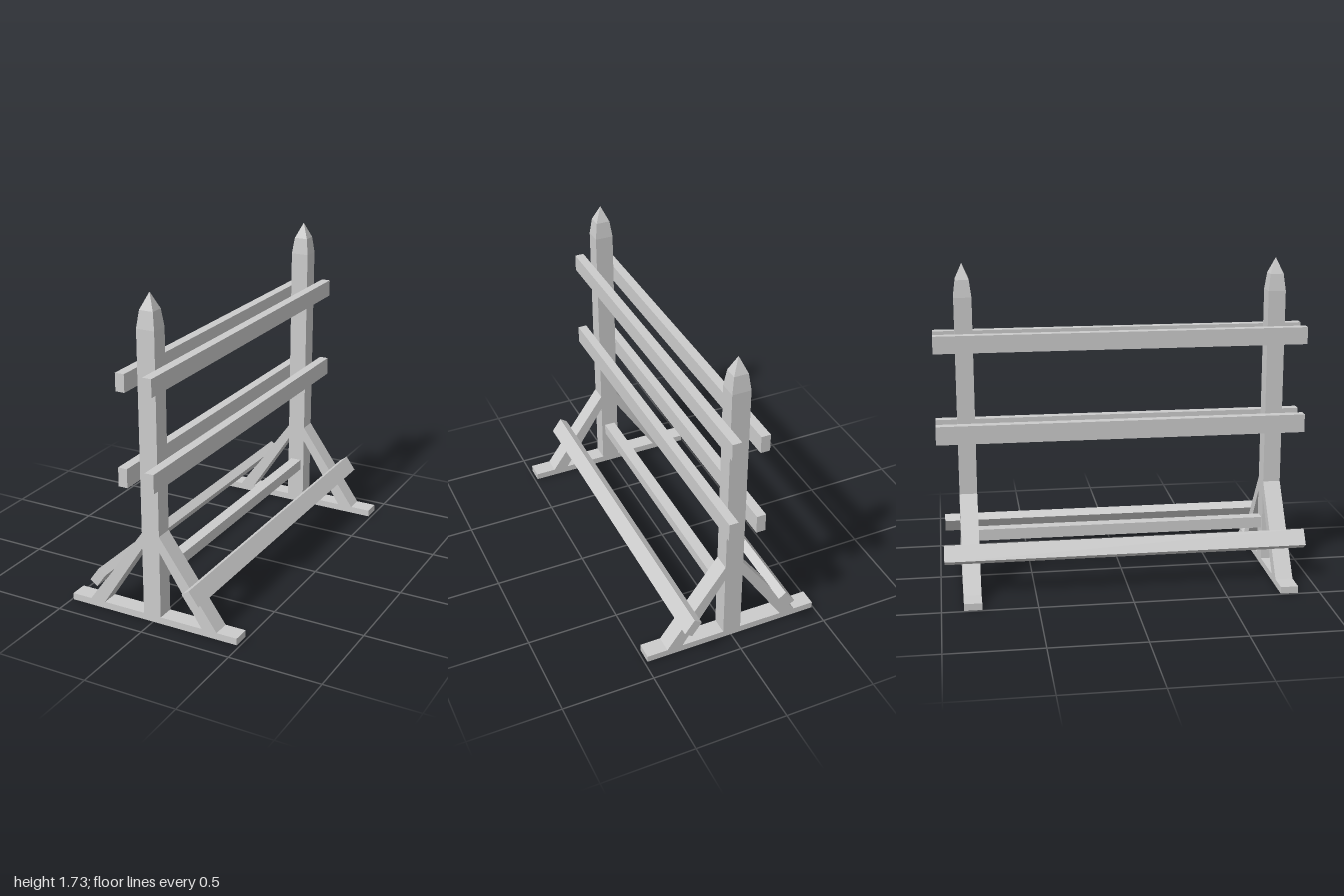
import * as THREE from 'three';

export function createModel() {
  const model = new THREE.Group();
  model.name = 'hurdleFence';
  const wood = new THREE.MeshStandardMaterial({ color: 0xcccccc });
  wood.name = 'plain grey';

  const AXIS = -0.004;   // x of the post centre line
  const HALF = 0.05;     // half width of a post in x
  const DEPTH = 0.094;   // timber depth in z
  const POST_Z = 0.837;

  function add(name, geometry, x, y, z, parent = model) {
    const mesh = new THREE.Mesh(geometry, wood);
    mesh.name = name;
    mesh.position.set(x, y, z);
    parent.add(mesh);
    return mesh;
  }
  const box = (w, h, d) => new THREE.BoxGeometry(w, h, d);

  // Square post with a two-stage pointed top: a four-sided lathe with flat faces
  function postGeometry() {
    const profile = [[0, 0.005], [HALF, 0.005], [HALF, 1.555], [0.038, 1.645], [0, 1.73]]
      .map(([r, y]) => new THREE.Vector2(r * Math.SQRT2, y));
    const lathe = new THREE.LatheGeometry(profile, 4, Math.PI / 4).toNonIndexed();
    lathe.scale(1, 1, DEPTH / (2 * HALF));
    lathe.computeVertexNormals();
    return lathe;
  }

  // Slanted brace, cut vertically at the post and level at the foot
  function braceGeometry(side) {
    const points = [[HALF, 0.405], [0.289, 0.036], [0.375, 0.036], [HALF, 0.49]];
    const shape = new THREE.Shape(points.map(([x, y]) => new THREE.Vector2(x * side, y)));
    const geometry = new THREE.ExtrudeGeometry(shape, { depth: DEPTH, bevelEnabled: false });
    return geometry.translate(0, 0, -DEPTH / 2);
  }

  // End frames
  for (const end of [1, -1]) {
    const frame = new THREE.Group();
    frame.name = end > 0 ? 'frontFrame' : 'backFrame';
    frame.position.set(AXIS, 0, end * POST_Z);
    model.add(frame);
    add('post', postGeometry(), 0, 0, 0, frame);
    add('foot', box(0.975, 0.037, DEPTH), 0, 0.0185, 0, frame);
    add('leftBrace', braceGeometry(1), 0, 0, 0, frame);
    add('rightBrace', braceGeometry(-1), 0, 0, 0, frame);
  }

  // Rails on both sides
  for (const side of [1, -1]) {
    const label = side > 0 ? 'left' : 'right';
    const x = AXIS + side * (HALF + 0.025);
    add(label + 'TopRail', box(0.05, 0.093, 2), x, 1.317, 0);
    add(label + 'MiddleRail', box(0.05, 0.1, 2), x, 0.83, 0);
    // Lower rail lies flat on the braces
    const length = side > 0 ? 1.926 : 1.947;
    const lower = add(label + 'LowerRail', box(0.05, 0.092, length), AXIS + side * 0.267, 0.226, -0.004);
    lower.rotation.z = side * 0.622;
  }

  // Tie bar between the posts
  add('tieBar', box(0.062, 0.062, 2 * POST_Z - DEPTH), AXIS, 0.245, 0);

  return model;
}
